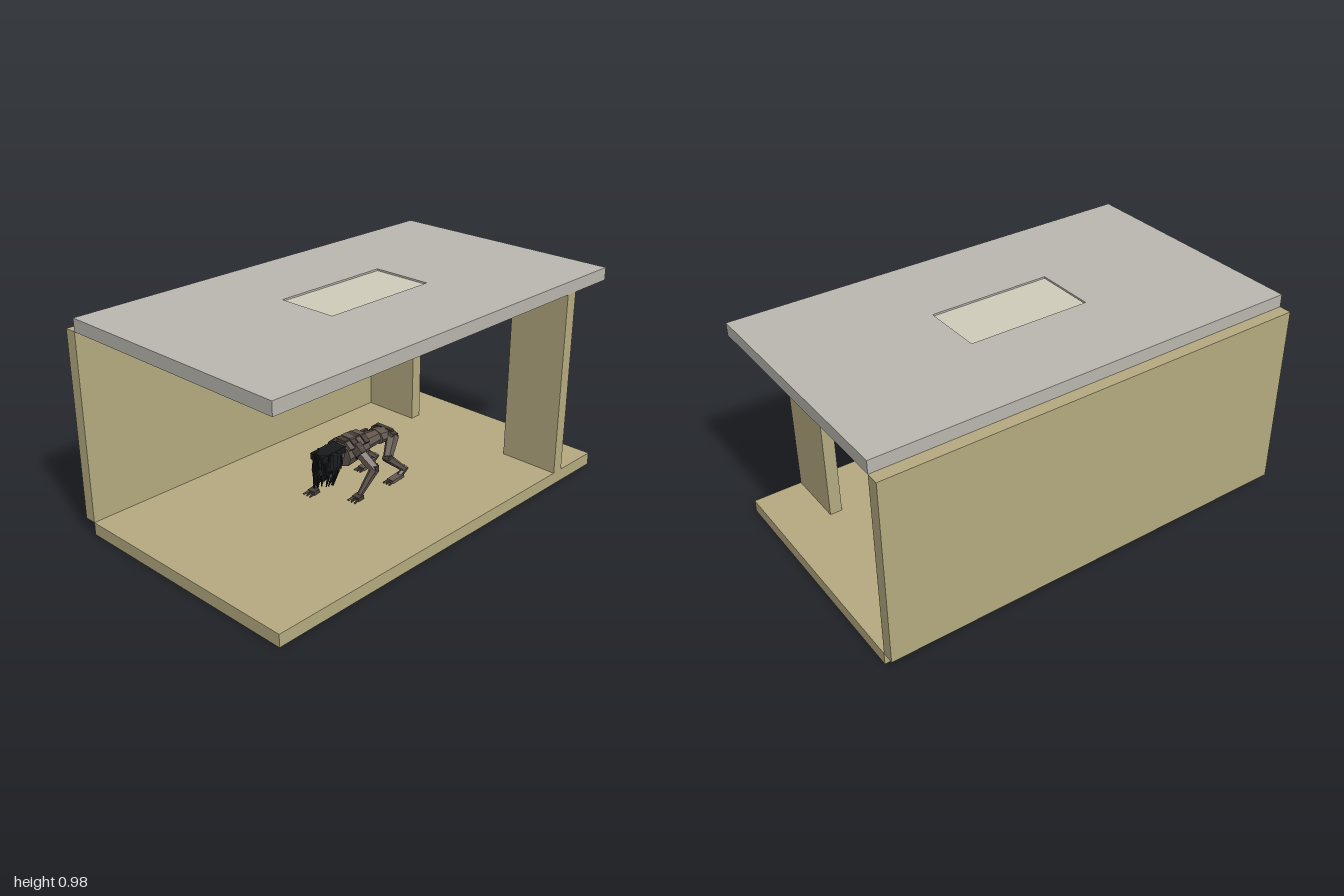
import * as THREE from 'three';

const mat = (name, color, opts = {}) => {
  const m = new THREE.MeshStandardMaterial({ color, ...opts });
  m.name = name;
  return m;
};
const V = (p) => new THREE.Vector3(...p);

export function createModel() {
  const model = new THREE.Group();
  model.name = 'roomWithCrawler';
  const wallMat = mat('wallTan', 0xb5aa80);
  const ceilingMat = mat('ceilingGrey', 0xbab7af);
  const lightMat = mat('lightPanel', 0xcfccbb);
  const skin = mat('skinBrown', 0x62574f, { flatShading: true });
  const dark = mat('darkBrown', 0x443b35, { flatShading: true });
  const hairMat = mat('hairBlack', 0x18191b, { flatShading: true });

  // Box from its minimum and maximum corners
  const slab = (name, m, x0, x1, y0, y1, z0, z1) => {
    const mesh = new THREE.Mesh(new THREE.BoxGeometry(x1 - x0, y1 - y0, z1 - z0), m);
    mesh.position.set((x0 + x1) / 2, (y0 + y1) / 2, (z0 + z1) / 2);
    mesh.name = name;
    model.add(mesh);
  };

  // Room
  slab('floor', wallMat, -0.543, 0.6, 0, 0.058, -1, 1);
  slab('sideWall', wallMat, -0.6, -0.543, 0.058, 0.917, -1, 1);
  slab('backWallRight', wallMat, -0.543, -0.26, 0.058, 0.917, -0.771, -0.714);
  slab('backWallLeft', wallMat, 0.314, 0.6, 0.058, 0.917, -0.771, -0.714);

  // Ceiling with an opening for the light
  const rect = (T, x0, x1, z0, z1) => {
    const s = new T();
    s.moveTo(x0, -z1).lineTo(x1, -z1).lineTo(x1, -z0).lineTo(x0, -z0).closePath();
    return s;
  };
  const shape = rect(THREE.Shape, -0.543, 0.6, -1, 1);
  shape.holes.push(rect(THREE.Path, -0.114, 0.17, -0.286, 0.286));
  const ceiling = new THREE.Mesh(
    new THREE.ExtrudeGeometry(shape, { depth: 0.058, bevelEnabled: false }), ceilingMat);
  ceiling.rotation.x = -Math.PI / 2;
  ceiling.position.y = 0.917;
  ceiling.name = 'ceiling';
  model.add(ceiling);
  slab('lightPanel', lightMat, -0.114, 0.17, 0.917, 0.967, -0.286, 0.286);

  // Crawling figure
  const body = new THREE.Group();
  body.name = 'crawler';
  body.position.x = 0.03;
  model.add(body);

  // Tapered piece between two points; sx and sz flatten its section
  const piece = (name, m, a, b, r0, r1, sides = 6, sx = 1, sz = 1) => {
    const d = V(b).sub(V(a));
    const geo = new THREE.CylinderGeometry(r1, r0, d.length(), sides);
    geo.scale(sx, 1, sz);
    const mesh = new THREE.Mesh(geo, m);
    mesh.position.copy(V(a)).addScaledVector(d, 0.5);
    mesh.quaternion.setFromUnitVectors(new THREE.Vector3(0, 1, 0), d.normalize());
    mesh.name = name;
    body.add(mesh);
  };
  const block = (name, m, size, at, rx = 0, rz = 0) => {
    const mesh = new THREE.Mesh(new THREE.BoxGeometry(...size), m);
    mesh.position.set(...at);
    mesh.rotation.set(rx, 0, rz);
    mesh.name = name;
    body.add(mesh);
  };

  // Torso, waist and pelvis
  piece('chest', skin, [0, 0.258, -0.035], [0, 0.25, 0.1], 0.05, 0.058, 8, 1.1, 0.98);
  piece('waist', skin, [0, 0.262, -0.14], [0, 0.262, -0.02], 0.034, 0.044, 8, 1.1, 0.9);
  piece('pelvis', skin, [0, 0.255, -0.2], [0, 0.262, -0.12], 0.036, 0.04, 8, 1.3, 0.85);
  piece('neck', skin, [0, 0.265, 0.09], [0, 0.25, 0.15], 0.03, 0.024);
  block('hipBand', dark, [0.095, 0.03, 0.016], [0, 0.275, -0.188], 0.2);
  block('spineRod', dark, [0.016, 0.008, 0.06], [0, 0.316, -0.038]);
  for (let i = 0; i < 4; i++) {
    const z = 0.085 - i * 0.032;
    block('backPlate', i % 2 ? skin : dark, [0.055, 0.016, 0.03], [0, 0.32 - Math.abs(i - 1.3) * 0.003, z]);
    for (const s of [-1, 1])
      block('ribPlate', i % 2 ? dark : skin, [0.04, 0.012, 0.026], [s * 0.042, 0.302, z], 0, -s * 0.65);
  }

  // Arms: the right hand reaches further forward
  for (const s of [-1, 1]) {
    const f = s < 0 ? 0.1 : 0;
    const shoulder = [s * 0.05, 0.275, 0.045 + f * 0.25];
    const elbow = [s * 0.125, 0.195, 0.015 + f * 0.8];
    const wrist = [s * 0.09, 0.078, 0.07 + f * 0.95];
    piece('shoulder', dark, [s * 0.035, 0.285, shoulder[2]], [s * 0.075, 0.255, shoulder[2]], 0.034, 0.03);
    piece('upperArm', skin, shoulder, elbow, 0.029, 0.023);
    piece('elbow', dark, [s * 0.12, 0.212, elbow[2]], [s * 0.122, 0.178, elbow[2]], 0.023, 0.021);
    piece('forearm', skin, elbow, wrist, 0.022, 0.013);
    block('hand', dark, [0.04, 0.018, 0.034], [s * 0.09, 0.068, wrist[2] + 0.012], 0.15);
    for (let i = -1; i <= 1; i++)
      piece('finger', dark, [s * 0.09 + i * 0.014, 0.068, wrist[2] + 0.024],
        [s * 0.09 + i * 0.02, 0.062, wrist[2] + 0.055], 0.006, 0.004, 5);
  }

  // Legs
  for (const s of [-1, 1]) {
    const hip = [s * 0.045, 0.255, -0.19];
    const knee = [s * 0.085, 0.185, s < 0 ? -0.1 : -0.115];
    const ankle = [s * 0.09, 0.09, -0.225];
    piece('hipJoint', dark, [s * 0.03, 0.258, -0.185], [s * 0.062, 0.25, -0.185], 0.03, 0.028);
    piece('thigh', skin, hip, knee, 0.03, 0.022);
    piece('knee', dark, [s * 0.068, 0.186, knee[2]], [s * 0.102, 0.184, knee[2]], 0.02, 0.02);
    piece('shin', skin, knee, ankle, 0.021, 0.013);
    piece('heel', dark, [s * 0.09, 0.1, -0.235], [s * 0.09, 0.07, -0.19], 0.014, 0.014);
    block('foot', skin, [0.036, 0.015, 0.075], [s * 0.09, 0.069, -0.165], 0.1);
    for (let i = -1; i <= 1; i++)
      piece('toe', dark, [s * 0.09 + i * 0.012, 0.066, -0.135],
        [s * 0.09 + i * 0.017, 0.062, -0.102], 0.006, 0.004, 5);
  }

  // Head
  block('head', dark, [0.065, 0.09, 0.075], [0, 0.235, 0.175], 0.35);
  block('hairCap', hairMat, [0.075, 0.03, 0.14], [0, 0.288, 0.175], 0.06);

  // Hair strands hanging around the head
  let seed = 7;
  const rnd = () => (seed = (seed * 16807) % 2147483647) / 2147483647;
  for (let i = 0; i < 44; i++) {
    const a = (i / 44) * Math.PI * 2 + rnd() * 0.1;
    const c = Math.cos(a), q = Math.sin(a);
    const top = [c * 0.034, 0.285 + rnd() * 0.02, 0.175 + q * 0.068];
    const mid = [c * 0.042 - 0.004, 0.21 + rnd() * 0.02, 0.178 + q * 0.07];
    const end = [c * 0.026 - 0.018, 0.115 + rnd() * 0.07, 0.178 + q * 0.055 + (rnd() - 0.5) * 0.02];
    piece('hairStrand', hairMat, top, mid, 0.01, 0.009, 4);
    piece('hairStrand', hairMat, mid, end, 0.009, 0.003, 4);
  }

  return model;
}
